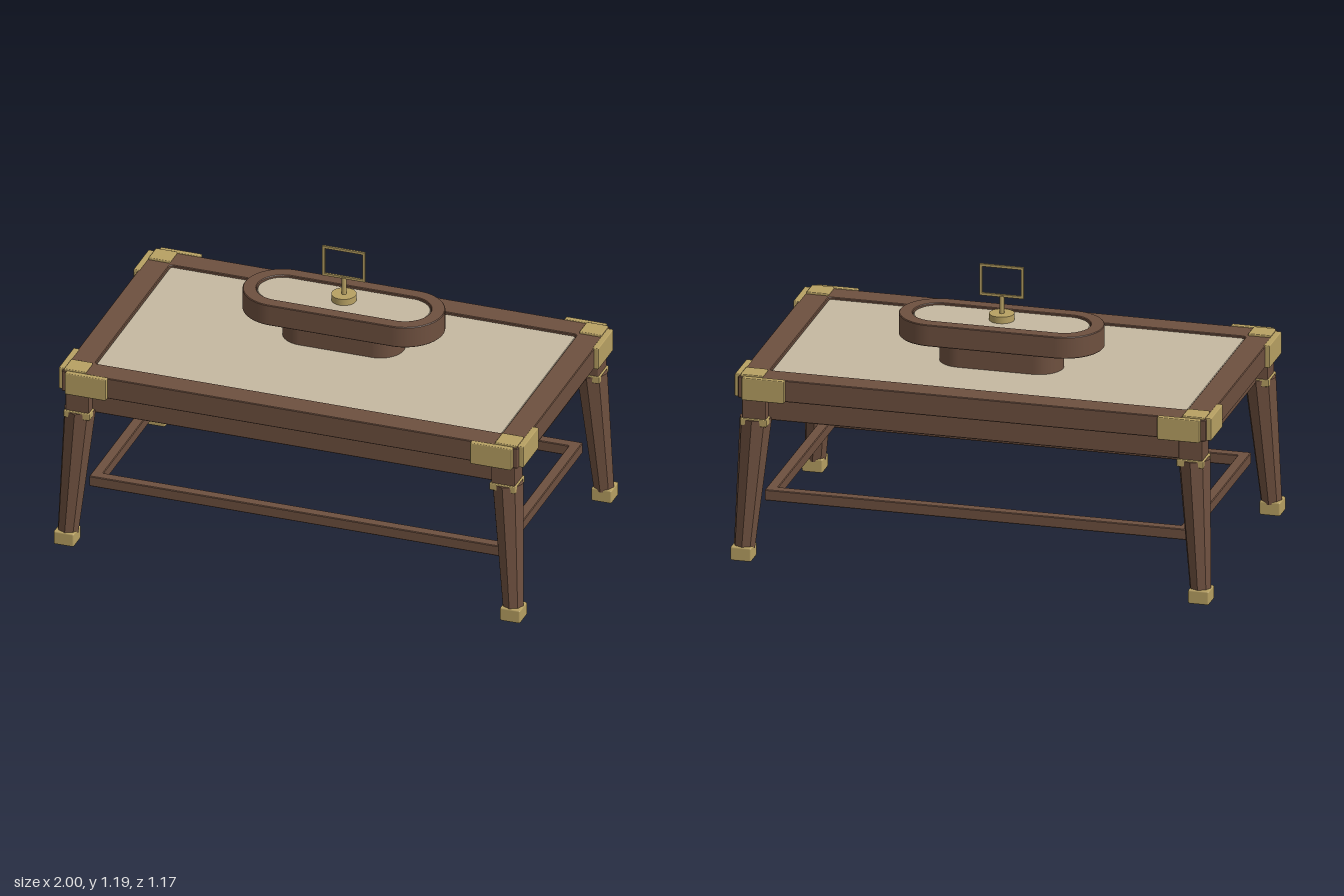
import * as THREE from 'three';
import { RoundedBoxGeometry } from 'three/addons/geometries/RoundedBoxGeometry.js';

const mat = (name, color) => {
  const m = new THREE.MeshStandardMaterial({ color });
  m.name = name;
  return m;
};

// Rounded rectangle outline; r = hz gives a stadium
function outline(hx, hz, r, Type = THREE.Shape) {
  const s = new Type();
  s.moveTo(-hx + r, -hz);
  s.lineTo(hx - r, -hz);
  s.absarc(hx - r, -hz + r, r, -Math.PI / 2, 0, false);
  s.lineTo(hx, hz - r);
  s.absarc(hx - r, hz - r, r, 0, Math.PI / 2, false);
  s.lineTo(-hx + r, hz);
  s.absarc(-hx + r, hz - r, r, Math.PI / 2, Math.PI, false);
  s.lineTo(-hx, -hz + r);
  s.absarc(-hx + r, -hz + r, r, Math.PI, Math.PI * 1.5, false);
  return s;
}

// Upright slab between heights y0 and y1, with small bevels and an optional opening
function slab(outer, y0, y1, inner, bevel = 0.003) {
  const [hx, hz, r] = outer;
  const shape = outline(hx - bevel, hz - bevel, Math.max(r - bevel, 0.001));
  if (inner) {
    const [ix, iz, ir] = inner;
    shape.holes.push(outline(ix + bevel, iz + bevel, ir + bevel, THREE.Path));
  }
  const g = new THREE.ExtrudeGeometry(shape, {
    depth: y1 - y0 - 2 * bevel, curveSegments: 20,
    bevelEnabled: bevel > 0, bevelThickness: bevel, bevelSize: bevel, bevelSegments: 1,
  });
  return g.rotateX(-Math.PI / 2).translate(0, y0 + bevel, 0);
}

export function createModel() {
  const wood = mat('brown wood', 0x6e503f);
  const brass = mat('brass', 0xb8a163);
  const cream = mat('cream inlay', 0xc6b9a1);

  const model = new THREE.Group();
  model.name = 'table';
  const add = (parent, name, geometry, material) => {
    const mesh = new THREE.Mesh(geometry, material);
    mesh.name = name;
    parent.add(mesh);
    return mesh;
  };
  // Box given by its minimum and maximum corners
  const box = (parent, name, material, a, b, radius = 0.004) => {
    const size = a.map((v, i) => b[i] - v);
    const g = new RoundedBoxGeometry(...size, 1, radius);
    g.translate(...a.map((v, i) => (v + b[i]) / 2));
    return add(parent, name, g, material);
  };

  // Table top, with its inlaid surface
  add(model, 'topFrame', slab([0.977, 0.55, 0.004], 0.688, 0.78, [0.872, 0.445, 0.015]), wood);
  add(model, 'topBoard', slab([0.874, 0.447, 0.015], 0.7, 0.76, null, 0), wood);
  add(model, 'topInlay', slab([0.869, 0.442, 0.015], 0.758, 0.773), cream);

  // Apron and low stretcher rings
  add(model, 'apron', slab([0.915, 0.5, 0.004], 0.587, 0.678, [0.855, 0.44, 0.002]), wood);
  add(model, 'stretcher', slab([0.887, 0.472, 0.004], 0.229, 0.275, [0.842, 0.427, 0.002]), wood);

  // Four corners: leg, post and brass fittings
  for (const sx of [1, -1]) for (const sz of [1, -1]) {
    const corner = new THREE.Group();
    corner.name = (sz > 0 ? 'front' : 'back') + (sx > 0 ? 'Left' : 'Right') + 'Corner';
    model.add(corner);
    const cornerBox = (name, material, a, b, radius) => {
      const span = (s, p, q) => (s > 0 ? [p, q] : [-q, -p]);
      const [x0, x1] = span(sx, a[0], b[0]);
      const [z0, z1] = span(sz, a[2], b[2]);
      box(corner, name, material, [x0, a[1], z0], [x1, b[1], z1], radius);
    };

    // Splayed, tapered eight-sided leg
    let leg = new THREE.CylinderGeometry(0.067, 0.044, 0.55, 8).translate(0, 0.322, 0);
    const p = leg.attributes.position;
    for (let i = 0; i < p.count; i++) {
      const t = (0.597 - p.getY(i)) / 0.55;
      p.setX(i, p.getX(i) + sx * (0.916 + 0.037 * t));
      p.setZ(i, p.getZ(i) + sz * (0.498 + 0.04 * t));
    }
    leg = leg.toNonIndexed();
    leg.computeVertexNormals();
    add(corner, 'leg', leg, wood);

    cornerBox('post', wood, [0.862, 0.59, 0.446], [0.962, 0.7, 0.546]);
    cornerBox('legCollar', brass, [0.856, 0.572, 0.441], [0.968, 0.603, 0.553]);
    cornerBox('foot', brass, [0.912, 0, 0.498], [1, 0.06, 0.585], 0.007);

    // Corner plates on the long side, the short side and the top
    cornerBox('longSidePlate', brass, [0.78, 0.687, 0.545], [0.956, 0.783, 0.572]);
    cornerBox('shortSidePlate', brass, [0.97, 0.687, 0.354], [0.996, 0.783, 0.533]);
    cornerBox('topPlate', brass, [0.877, 0.775, 0.456], [0.969, 0.789, 0.546]);
  }

  // Raised oval tray on its pedestal
  const tray = new THREE.Group();
  tray.name = 'ovalTray';
  tray.position.z = -0.094;
  model.add(tray);
  add(tray, 'pedestal', slab([0.257, 0.101, 0.101], 0.765, 0.88, null, 0), wood);
  add(tray, 'trayRim', slab([0.424, 0.162, 0.162], 0.873, 0.965, [0.368, 0.106, 0.106]), wood);
  add(tray, 'trayBase', slab([0.37, 0.108, 0.108], 0.875, 0.947, null, 0), wood);
  add(tray, 'trayInlay', slab([0.365, 0.103, 0.103], 0.945, 0.958), cream);

  // Brass stand holding an open rectangular frame
  const stand = new THREE.Group();
  stand.name = 'stand';
  tray.add(stand);
  add(stand, 'standBase', new THREE.CylinderGeometry(0.051, 0.051, 0.03, 32).translate(0, 0.971, 0), brass);
  add(stand, 'standStem', new THREE.CylinderGeometry(0.01, 0.01, 0.08, 16).translate(0, 1.02, 0), brass);
  for (const [name, y] of [['frameBottom', 1.055], ['frameTop', 1.179]])
    box(stand, name, brass, [-0.092, y, -0.005], [0.092, y + 0.011, 0.005], 0.001);
  for (const s of [-1, 1])
    box(stand, 'frameSide', brass, [s * 0.0865 - 0.0055, 1.06, -0.005], [s * 0.0865 + 0.0055, 1.185, 0.005], 0.001);

  return model;
}
